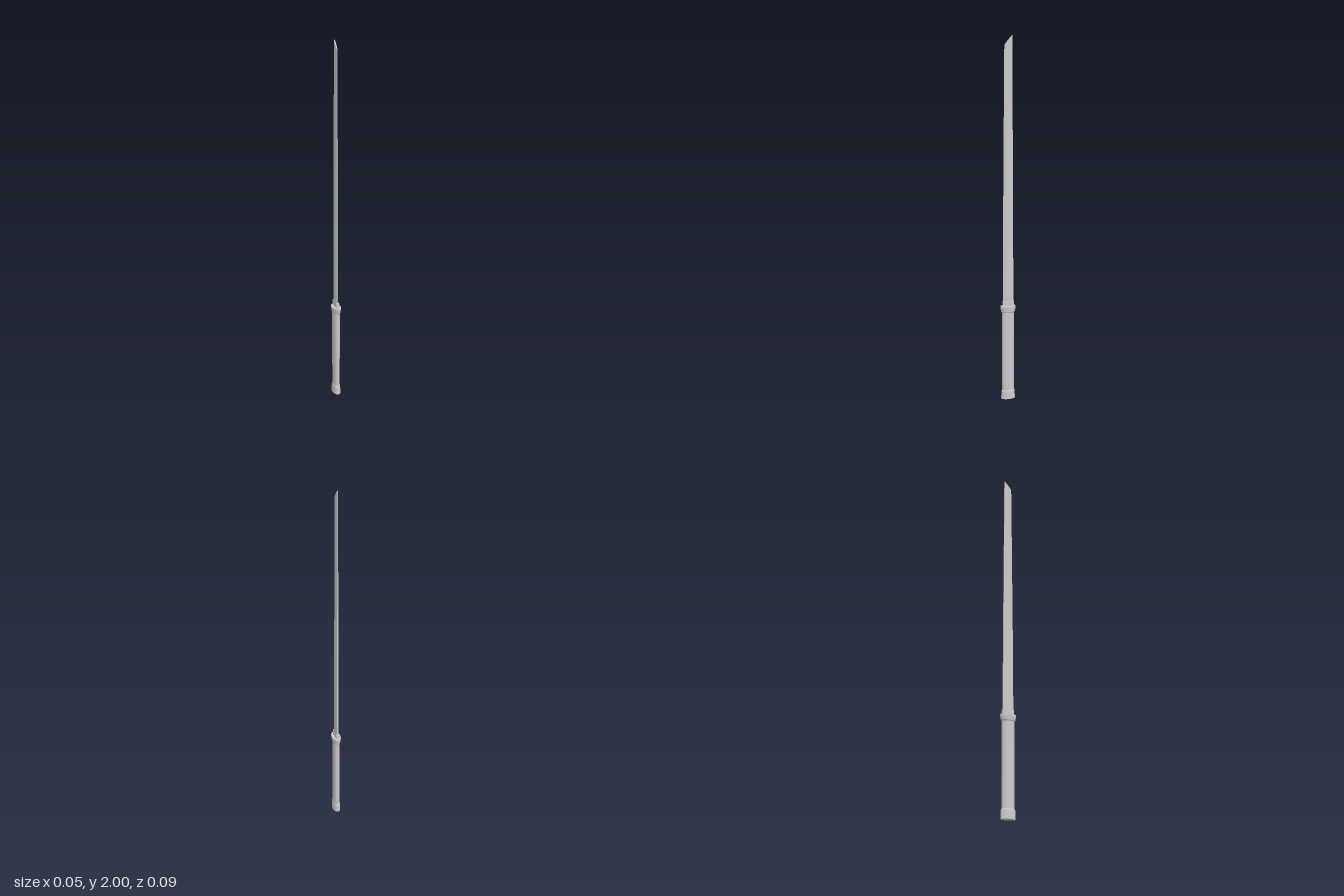
import * as THREE from 'three';

const material = new THREE.MeshStandardMaterial({ color: 0xcccccc });
const flatMaterial = new THREE.MeshStandardMaterial({ color: 0xcccccc, flatShading: true });

function addMesh(group, name, geometry, mat) {
  const mesh = new THREE.Mesh(geometry, mat);
  mesh.name = name;
  group.add(mesh);
  return mesh;
}

// Oval turned part: profile is [half depth in z, y], narrowed in x.
// Each profile step is its own band so the rims stay crisp.
function addOval(group, name, profile) {
  const part = new THREE.Group();
  part.name = name;
  for (let i = 0; i < profile.length - 1; i++) {
    const points = [profile[i], profile[i + 1]].map(([r, y]) => new THREE.Vector2(r, y));
    const band = new THREE.LatheGeometry(points, 32);
    band.scale(0.55, 1, 1);
    addMesh(part, name + 'Band', band, material);
  }
  group.add(part);
}

// Loft through equal-sized rings of [x, y, z], closed at both ends.
function loft(rings) {
  const n = rings[0].length;
  const index = [];
  for (let r = 0; r < rings.length - 1; r++) {
    for (let i = 0; i < n; i++) {
      const a = r * n + i, b = r * n + (i + 1) % n;
      index.push(a, a + n, b, b, a + n, b + n);
    }
  }
  const top = (rings.length - 1) * n;
  for (let i = 1; i < n - 1; i++) {
    index.push(0, i, i + 1, top, top + i + 1, top + i);
  }
  const geometry = new THREE.BufferGeometry();
  geometry.setAttribute('position', new THREE.Float32BufferAttribute(rings.flat(2), 3));
  geometry.setIndex(index);
  geometry.computeVertexNormals();
  return geometry;
}

// Blade section: sharp edge at the front, flat spine at the back.
// The slant drops the front of the section to form the angled point.
function bladeRing(y, front, back, thick, slant) {
  const section = [[0, 1], [-1, 0.68], [-1, 0.2], [-0.6, 0], [0.6, 0], [1, 0.2], [1, 0.68]];
  return section.map(([x, t]) => [x * thick, y - slant * t, back + (front - back) * t]);
}

export function createModel() {
  const model = new THREE.Group();
  model.name = 'sword';

  // Grip
  addOval(model, 'grip', [[0.034, 0.045], [0.034, 0.51]]);

  // Slightly flared pommel cap
  addOval(model, 'pommel', [[0, 0], [0.04, 0], [0.0385, 0.045], [0.034, 0.052]]);

  // Flared collar where the grip meets the blade
  addOval(model, 'guard', [[0.034, 0.503], [0.039, 0.508], [0.044, 0.53], [0.044, 0.54], [0, 0.54]]);

  // Sleeve around the blade root
  const sleeve = addMesh(model, 'bladeSleeve', new THREE.BoxGeometry(0.016, 0.03, 0.063), flatMaterial);
  sleeve.position.set(0, 0.553, -0.001);

  // Long straight blade tapering to a slanted point
  addMesh(model, 'blade', loft([
    bladeRing(0.54, 0.03, -0.03, 0.007, 0),
    bladeRing(1.0, 0.028, -0.028, 0.0058, 0),
    bladeRing(1.9, 0.021, -0.0235, 0.0036, 0),
    bladeRing(2.0, 0.02, -0.023, 0.0033, 0.05),
  ]), flatMaterial);

  return model;
}
